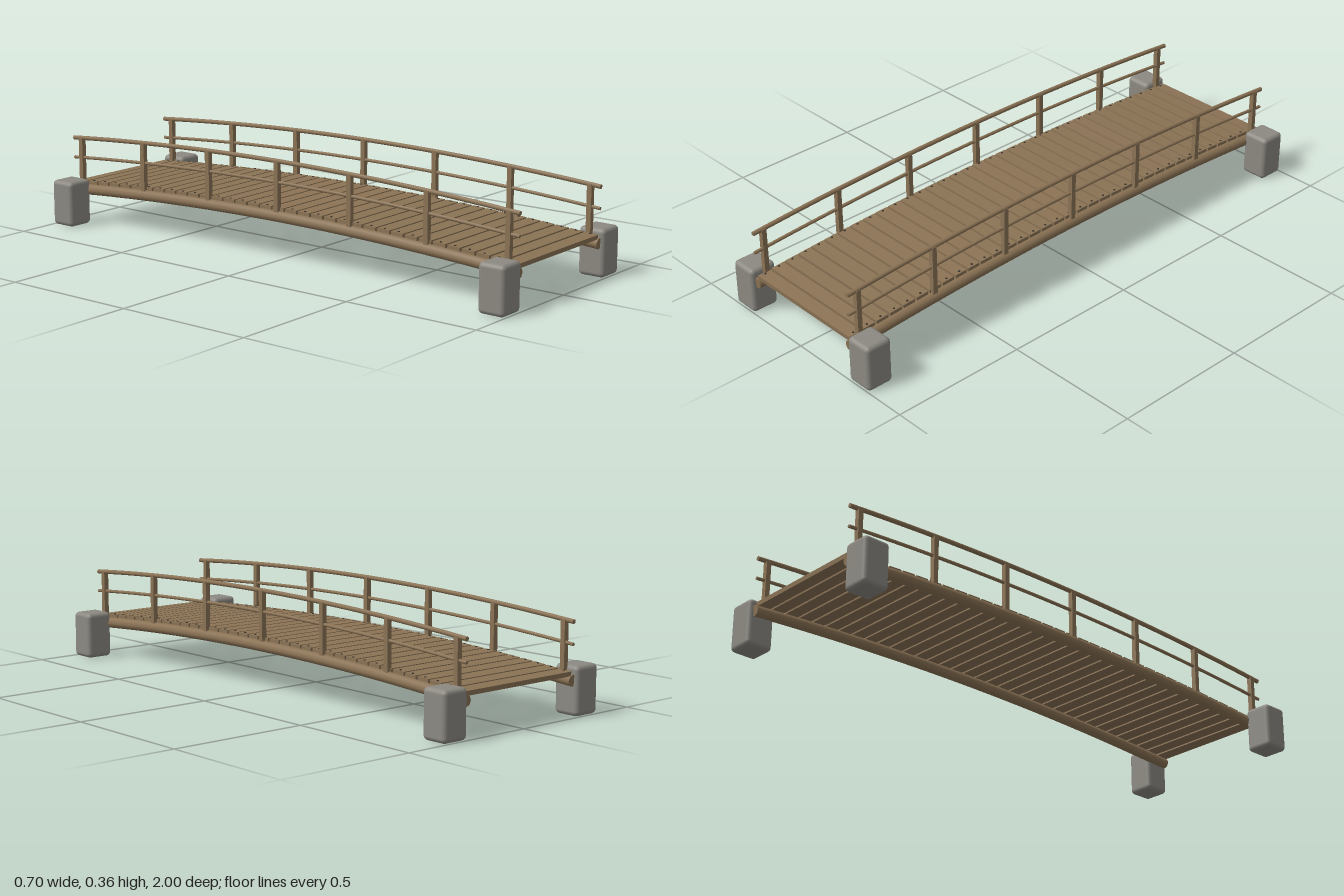
import * as THREE from 'three';
import { RoundedBoxGeometry } from 'three/addons/geometries/RoundedBoxGeometry.js';

const RISE = 0.038;   // height of the arch at mid-span
const HALF = 0.985;   // half length of the beams and rails
const SIDE = 0.244;   // x of beams, posts and rails

const arch = (z) => RISE * (1 - (z / HALF) ** 2);
const slope = (z) => Math.atan(2 * RISE * z / HALF ** 2);

export function createModel() {
  const group = new THREE.Group();
  const wood = new THREE.MeshStandardMaterial({ color: 0x8b7355 });
  const stone = new THREE.MeshStandardMaterial({ color: 0x8c8982 });
  const iron = new THREE.MeshStandardMaterial({ color: 0x3a3531 });

  function add(name, geometry, material, x, y, z, parent = group) {
    const mesh = new THREE.Mesh(geometry, material);
    mesh.name = name;
    mesh.position.set(x, y, z);
    parent.add(mesh);
    return mesh;
  }

  // Round pole following the arch, closed at both ends
  function archedPole(name, x, y, radius) {
    const pole = new THREE.Group();
    pole.name = name;
    const points = [];
    for (let i = 0; i <= 16; i++) {
      const z = HALF * (i / 8 - 1);
      points.push(new THREE.Vector3(x, y + arch(z), z));
    }
    const curve = new THREE.CatmullRomCurve3(points);
    add(name + 'Shaft', new THREE.TubeGeometry(curve, 32, radius, 8), wood, 0, 0, 0, pole);
    for (const end of [0, 1]) {
      const p = curve.getPoint(end);
      const cap = add(name + 'End', new THREE.CircleGeometry(radius, 8), wood, p.x, p.y, p.z, pole);
      cap.lookAt(p.clone().addScaledVector(curve.getTangent(end), end ? 1 : -1));
    }
    group.add(pole);
  }

  // Deck planks tilted along the arch, nailed at each end
  const PLANKS = 35, PITCH = 0.0563;
  const plankGeometry = new THREE.BoxGeometry(0.48, 0.016, 0.048);
  const nailGeometry = new THREE.CylinderGeometry(0.004, 0.004, 0.004, 8);
  for (let i = 0; i < PLANKS; i++) {
    const z = (i - (PLANKS - 1) / 2) * PITCH;
    const plank = add('plank', plankGeometry, wood, 0, 0.1435 + arch(z), z);
    plank.rotation.x = slope(z);
    for (const s of [-1, 1]) add('nail', nailGeometry, iron, s * 0.23, 0.008, 0, plank);
  }

  // Beams, railings and corner stones on both sides
  const postBottom = 0.125, postTop = 0.316;
  const postGeometry = new THREE.BoxGeometry(0.018, postTop - postBottom, 0.018);
  const stoneGeometry = new RoundedBoxGeometry(0.102, 0.168, 0.1, 3, 0.016);
  for (const s of [-1, 1]) {
    archedPole('beam', s * SIDE, 0.121, 0.02);
    archedPole('topRail', s * SIDE, 0.315, 0.008);
    archedPole('middleRail', s * SIDE, 0.241, 0.006);
    for (let i = -3; i <= 3; i++) {
      const z = i * 0.315;
      add('post', postGeometry, wood, s * SIDE, (postBottom + postTop) / 2 + arch(z), z);
    }
    for (const e of [-1, 1]) add('cornerStone', stoneGeometry, stone, s * 0.301, 0.085, e * 0.95);
  }

  return group;
}
